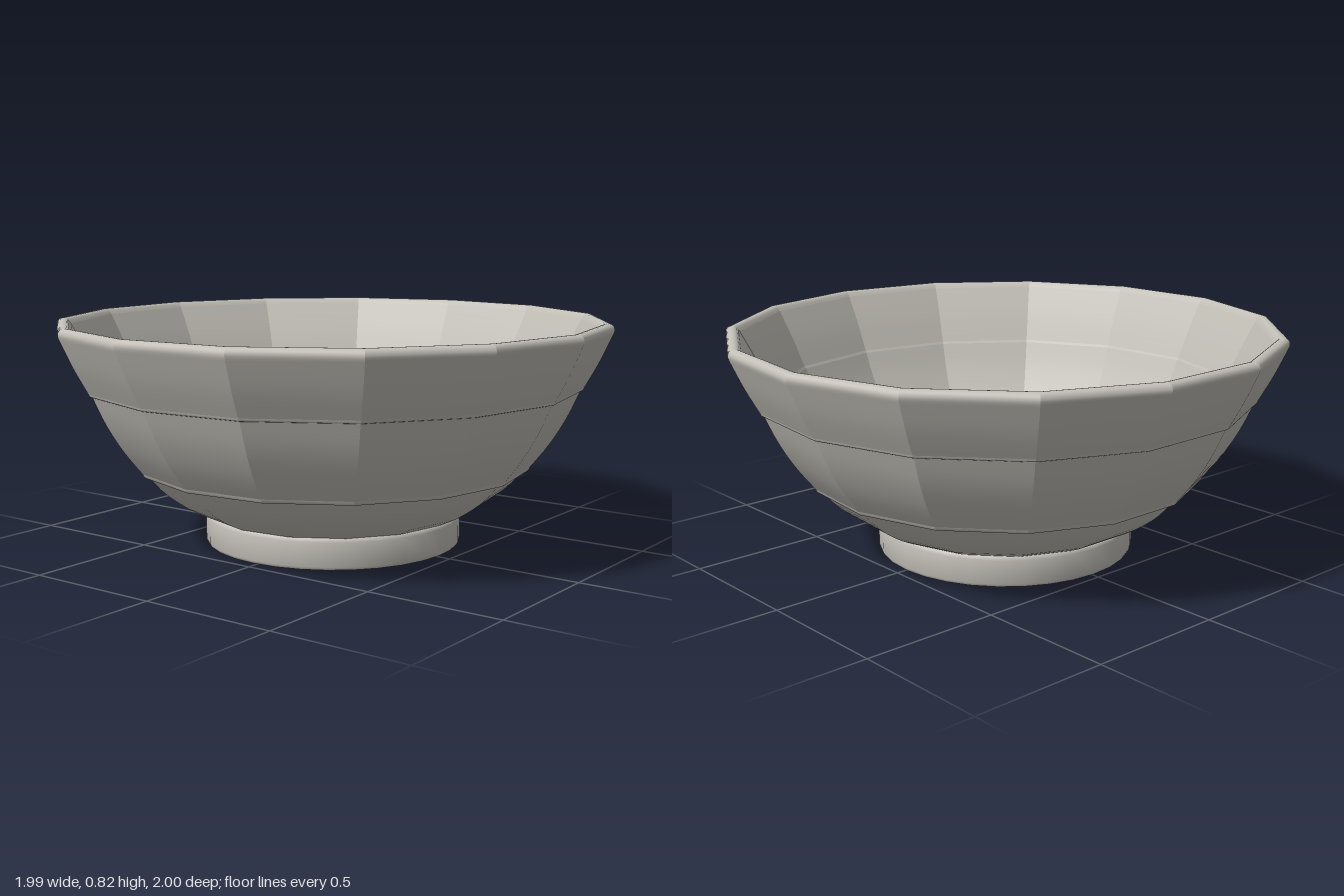
import * as THREE from 'three';
import { mergeGeometries, toCreasedNormals } from 'three/addons/utils/BufferGeometryUtils.js';

const SIDES = 15;
const STEP = (Math.PI * 2) / SIDES;

// Samples a smooth curve through profile points [radius, height].
function curveThrough(points, samples) {
  return new THREE.SplineCurve(points.map(([r, y]) => new THREE.Vector2(r, y))).getPoints(samples);
}

// One tier of flat-sided panels: smooth up the profile, sharp between neighbours.
function panelRing(points, samples = 8) {
  const profile = curveThrough(points, samples);
  const panels = [];
  for (let i = 0; i < SIDES; i++) {
    const panel = new THREE.LatheGeometry(profile, 1, Math.PI / 2 + i * STEP, STEP);
    panel.computeVertexNormals();
    panels.push(panel);
  }
  return mergeGeometries(panels);
}

export function createModel() {
  const group = new THREE.Group();
  group.name = 'bowl';
  const stone = new THREE.MeshStandardMaterial({ color: 0xc2bfb7, side: THREE.DoubleSide });
  stone.name = 'warm grey stoneware';

  const add = (name, geometry) => {
    const mesh = new THREE.Mesh(geometry, stone);
    mesh.name = name;
    mesh.position.x = -0.011; // an odd number of sides sits off centre
    group.add(mesh);
  };

  // Outer wall, bottom to top
  add('outerBase', panelRing([[0.18, 0.06], [0.34, 0.08], [0.47, 0.115]]));
  add('outerLowerTier', panelRing([[0.47, 0.115], [0.55, 0.155], [0.64, 0.22], [0.7, 0.285]]));
  add('outerLowerLip', panelRing([[0.7, 0.285], [0.716, 0.286], [0.724, 0.3]], 4));
  add('outerMiddleTier', panelRing([[0.724, 0.3], [0.79, 0.385], [0.85, 0.485], [0.893, 0.58]]));
  add('outerUpperLip', panelRing([[0.893, 0.58], [0.902, 0.583], [0.906, 0.592]], 4));
  add('outerUpperTier', panelRing([[0.906, 0.592], [0.955, 0.682], [1.0, 0.78]]));

  // Rounded rim
  add('rim', panelRing([[1.0, 0.78], [1.0056, 0.797], [1.0, 0.813], [0.985, 0.82],
    [0.968, 0.817], [0.955, 0.8]], 12));

  // Inner wall, top to bottom
  add('innerUpperTier', panelRing([[0.955, 0.8], [0.9, 0.695], [0.853, 0.592]]));
  add('innerUpperLip', panelRing([[0.853, 0.592], [0.847, 0.583]], 2));
  add('innerMiddleTier', panelRing([[0.847, 0.583], [0.805, 0.49], [0.75, 0.395], [0.695, 0.32]]));
  add('innerLowerLip', panelRing([[0.695, 0.32], [0.684, 0.308], [0.67, 0.304]], 4));
  add('innerLowerTier', panelRing([[0.67, 0.304], [0.61, 0.242], [0.54, 0.19], [0.45, 0.148]]));
  add('floor', panelRing([[0.45, 0.148], [0.32, 0.116], [0.18, 0.1]]));

  // Low round boss in the middle of the floor
  const boss = curveThrough([[0.19, 0.09], [0.183, 0.107], [0.12, 0.122], [0, 0.132]], 12);
  add('centreBoss', new THREE.LatheGeometry(boss, 32));

  // Round foot with an open well underneath
  const foot = [[0.18, 0.1], [0.18, 0], [0.455, 0], [0.466, 0.004], [0.47, 0.014],
    [0.47, 0.1], [0.466, 0.112], [0.455, 0.117], [0.42, 0.117]];
  const footProfile = foot.map(([r, y]) => new THREE.Vector2(r, y));
  add('foot', toCreasedNormals(new THREE.LatheGeometry(footProfile, 32), 0.9));

  return group;
}
